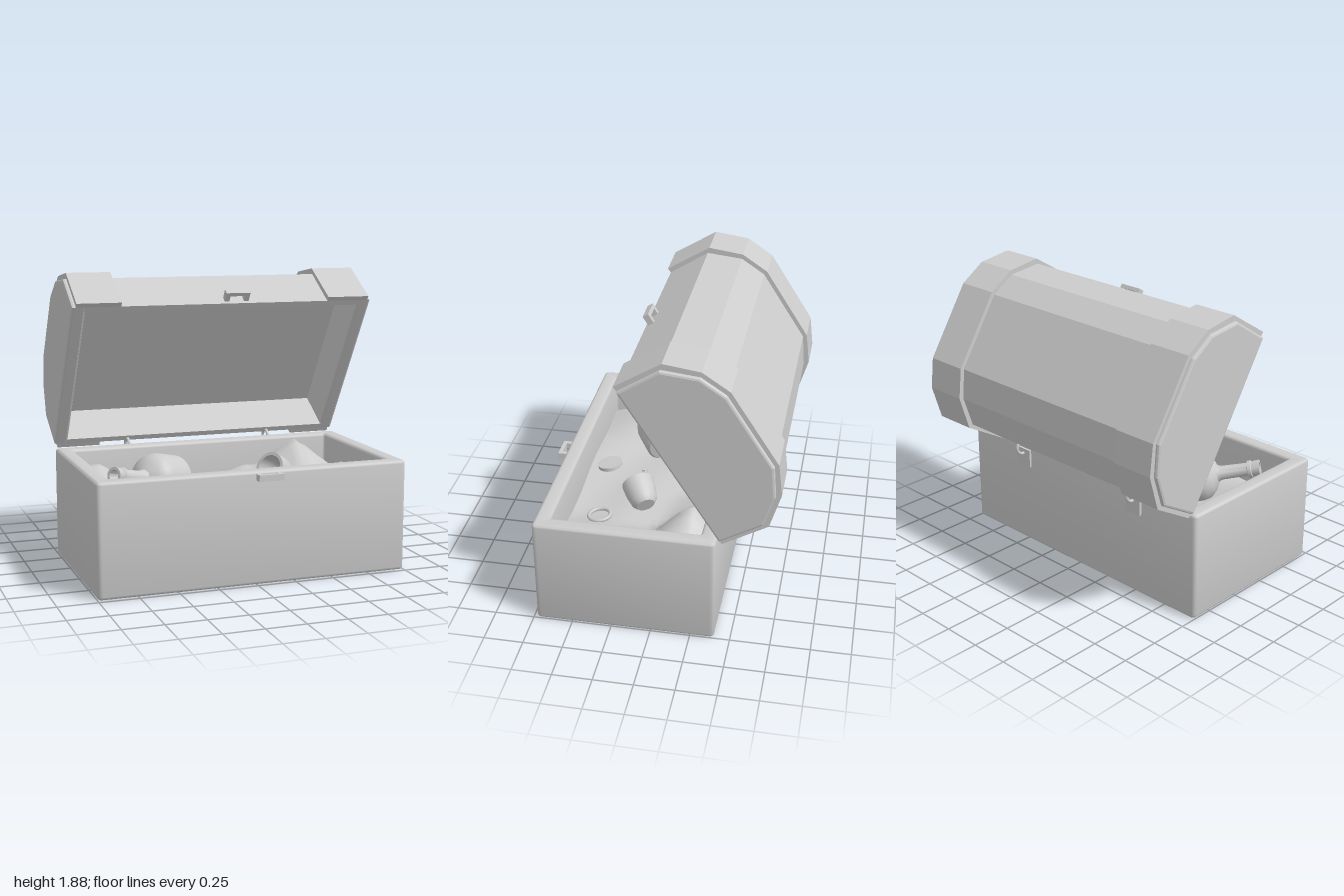
import * as THREE from 'three';
import { toCreasedNormals } from 'three/addons/utils/BufferGeometryUtils.js';

const grey = new THREE.MeshStandardMaterial({ color: 0xcccccc, side: THREE.DoubleSide });
grey.name = 'light grey';

const v = (x, y, z) => new THREE.Vector3(x, y, z);

export function createModel() {
  const model = new THREE.Group();

  function add(name, geo, x = 0, y = 0, z = 0, parent = model) {
    const mesh = new THREE.Mesh(geo, grey);
    mesh.name = name;
    mesh.position.set(x, y, z);
    parent.add(mesh);
    return mesh;
  }
  const box = (name, w, h, d, x, y, z, parent) => add(name, new THREE.BoxGeometry(w, h, d), x, y, z, parent);
  const lathe = (pts, n) => toCreasedNormals(
    new THREE.LatheGeometry(pts.map(p => new THREE.Vector2(...p)), n), 0.6);

  // Side profile of [z, y] points, extruded from x0 to x1
  function slab(name, pts, x0, x1, bevel = 0) {
    const shape = new THREE.Shape(pts.map(p => new THREE.Vector2(...p)));
    const geo = new THREE.ExtrudeGeometry(shape, {
      depth: x1 - x0 - 2 * bevel, bevelEnabled: bevel > 0, bevelSize: bevel,
      bevelThickness: bevel, bevelOffset: -bevel, bevelSegments: 2
    });
    geo.rotateY(-Math.PI / 2);
    return add(name, geo, x1 - bevel, 0, 0);
  }

  // Rounded rectangle outline for the chest walls
  function roundRect(path, w, h, r) {
    path.moveTo(-w + r, -h);
    path.lineTo(w - r, -h).quadraticCurveTo(w, -h, w, -h + r);
    path.lineTo(w, h - r).quadraticCurveTo(w, h, w - r, h);
    path.lineTo(-w + r, h).quadraticCurveTo(-w, h, -w, h - r);
    path.lineTo(-w, -h + r).quadraticCurveTo(-w, -h, -w + r, -h);
    return path;
  }

  // Chest: walls around a hole, and a floor
  const outline = roundRect(new THREE.Shape(), 1, 0.565, 0.03);
  outline.holes.push(roundRect(new THREE.Path(), 0.9, 0.465, 0.015));
  const walls = new THREE.ExtrudeGeometry(outline, {
    depth: 0.67, bevelSize: 0.02, bevelThickness: 0.02, bevelOffset: -0.02, bevelSegments: 3, curveSegments: 4
  });
  walls.rotateX(-Math.PI / 2);
  add('chestWalls', toCreasedNormals(walls, 0.7), 0, 0.02, 0.165);
  box('chestFloor', 1.9, 0.08, 1.03, 0, 0.04, 0.165);

  // Open lid: recessed middle, solid ends and raised bands
  const lid = [[0.18, 1.68], [-0.07, 1.84], [-0.3, 1.815], [-0.45, 1.715],
    [-0.73, 1.28], [-0.745, 1.08], [-0.68, 0.88], [-0.42, 0.73]];
  const recess = [[-0.4, 0.762], [-0.637, 0.912], [-0.077, 1.797], [0.16, 1.648]];
  slab('lidMiddle', [...lid, ...recess], -0.92, 0.92);
  const bandOuter = [[0.2, 1.705], [-0.08, 1.877], [-0.305, 1.845], [-0.47, 1.735],
    [-0.755, 1.29], [-0.778, 1.09], [-0.71, 0.865], [-0.435, 0.705]];
  for (const s of [-1, 1]) {
    slab('lidEnd', lid, s > 0 ? 0.91 : -1, s > 0 ? 1 : -0.91, 0.015);
    slab('lidBand', [...bandOuter, ...lid.slice().reverse()], s > 0 ? 0.69 : -0.975, s > 0 ? 0.975 : -0.69);
  }

  // Staples of the lock
  function staple(name, x, y, z, tilt) {
    const g = new THREE.Group();
    g.name = name;
    g.position.set(x, y, z);
    g.rotation.x = tilt;
    for (const s of [-1, 1]) box('stapleLeg', 0.03, 0.04, 0.06, s * 0.065, 0, 0.02, g);
    box('stapleBar', 0.16, 0.04, 0.025, 0, 0, 0.043, g);
    model.add(g);
  }
  staple('chestStaple', 0.07, 0.675, 0.73, 0);
  staple('lidStaple', 0.07, 1.71, 0.152, -1.0);

  // Hinges: plates joined by a ring
  for (const x of [-0.5, 0.5]) {
    box('hingePlate', 0.12, 0.12, 0.018, x, 0.62, -0.406);
    const upper = box('hingeLidPlate', 0.12, 0.012, 0.13, x, 0.775, -0.51);
    upper.rotation.x = Math.PI / 6;
    const ring = add('hingeRing', new THREE.TorusGeometry(0.048, 0.011, 8, 20), x, 0.695, -0.42);
    ring.rotation.y = Math.PI / 2;
  }

  // Crumpled cloth lining the chest
  const bumps = [[-0.78, -0.2, 0.2, 0.15], [0.62, -0.2, 0.27, 0.13], [0.85, 0.05, 0.14, 0.18],
    [0.8, 0.4, 0.07, 0.2], [-0.8, 0.3, 0.07, 0.2], [0.3, -0.28, 0.08, 0.15]];
  const cloth = new THREE.PlaneGeometry(1.84, 0.97, 32, 18);
  cloth.rotateX(-Math.PI / 2);
  cloth.translate(0, 0, 0.165);
  const pos = cloth.attributes.position;
  for (let i = 0; i < pos.count; i++) {
    const x = pos.getX(i), z = pos.getZ(i);
    let y = 0.44 + 0.012 * Math.sin(7 * x + 5 * z) + 0.01 * Math.sin(11 * z - 4 * x);
    for (const [bx, bz, h, r] of bumps) y += h * Math.max(0, 1 - Math.hypot(x - bx, z - bz) / (2 * r));
    pos.setY(i, y);
  }
  cloth.computeVertexNormals();
  add('cloth', cloth);

  // Bottle lying on its side, neck to the front
  const bottle = add('bottle', lathe([[0, 0], [0.15, 0], [0.165, 0.015], [0.165, 0.19], [0.15, 0.24],
    [0.11, 0.28], [0.055, 0.305], [0.045, 0.33], [0.042, 0.5], [0.055, 0.505], [0.055, 0.525],
    [0.048, 0.53], [0.052, 0.58], [0.035, 0.58], [0.03, 0.5]], 32), -0.35, 0.55, 0.125);
  bottle.quaternion.setFromUnitVectors(v(0, 1, 0), v(-0.81, 0.23, 0.54).normalize());

  // Goblet tipped over
  const goblet = add('goblet', lathe([[0, 0], [0.06, 0], [0.085, 0.03], [0.1, 0.1], [0.105, 0.18],
    [0.085, 0.18], [0.08, 0.1], [0.06, 0.03], [0, 0.02]], 24), 0.42, 0.54, 0.14);
  goblet.quaternion.setFromUnitVectors(v(0, 1, 0), v(-0.7, 0.35, 0.4).normalize());

  // Coin and bracelets
  const coin = add('coin', new THREE.CylinderGeometry(0.083, 0.083, 0.025, 28), -0.12, 0.475, 0.5);
  coin.rotation.x = 0.15;
  for (const [x, y, z, r] of [[0.485, 0.475, 0.43, 0.07], [-0.26, 0.475, -0.1, 0.085]]) {
    const ring = add('bracelet', new THREE.TorusGeometry(r, 0.013, 8, 28), x, y, z);
    ring.rotation.x = Math.PI / 2 + 0.1;
  }

  // Key
  const bow = add('keyBow', new THREE.TorusGeometry(0.043, 0.012, 8, 24), 0.155, 0.485, 0.243);
  bow.rotation.x = Math.PI / 2;
  box('keyShaft', 0.19, 0.014, 0.014, 0.02, 0.485, 0.235);
  for (const x of [-0.067, -0.02]) box('keyTooth', 0.014, 0.014, 0.03, x, 0.485, 0.25);

  return model;
}
